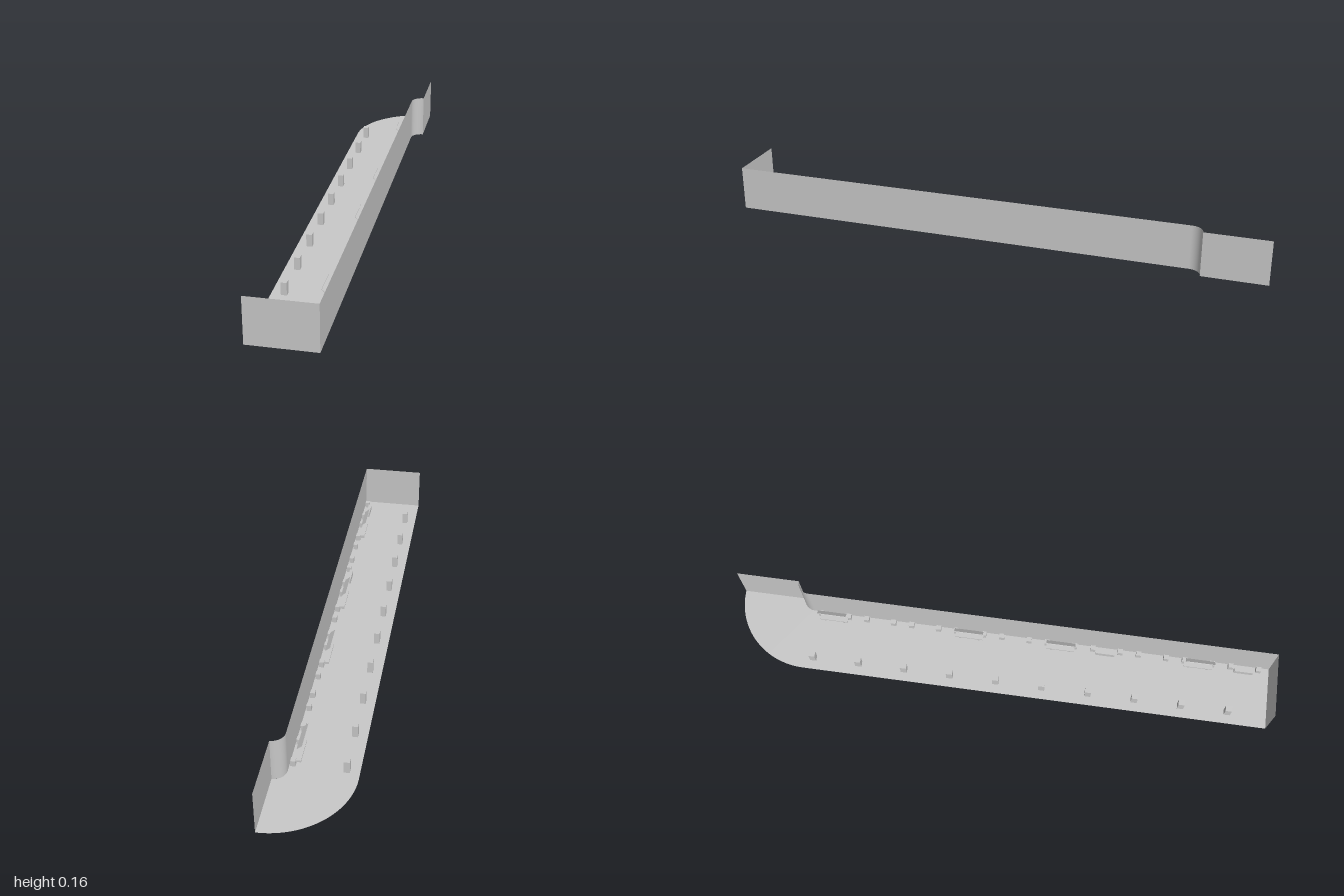
import * as THREE from 'three';

const X0 = -0.138, X1 = 0.094, X2 = 0.138; // outer edge, wall line, end of the bend
const ZC = -0.724, H = 0.164;              // centre of the bend, wall height
const R = X2 - X1;

export function createModel() {
  const model = new THREE.Group();
  const grey = new THREE.MeshStandardMaterial({ color: 0xc8c8c8, side: THREE.DoubleSide });
  grey.name = 'plain grey';

  const add = (name, geometry, x = 0, y = 0, z = 0) => {
    const mesh = new THREE.Mesh(geometry, grey);
    mesh.name = name;
    mesh.position.set(x, y, z);
    model.add(mesh);
    return mesh;
  };
  const box = (name, w, h, d, x, y, z) => add(name, new THREE.BoxGeometry(w, h, d), x, y + h / 2, z);

  // Floor: long strip ending in a quarter bend
  const s = new THREE.Shape();
  s.moveTo(X0, -1);
  s.lineTo(X1, -1);
  s.lineTo(X1, -ZC);
  s.absarc(X2, -ZC, R, Math.PI, Math.PI / 2, true);
  s.lineTo(X2, 1);
  s.absarc(X2, -ZC, X2 - X0, Math.PI / 2, Math.PI, false);
  s.closePath();
  add('floor', new THREE.ShapeGeometry(s, 24).rotateX(-Math.PI / 2));

  // Thin walls: front end, long side, rounded corner, end past the corner
  add('frontWall', new THREE.PlaneGeometry(X1 - X0, H), (X0 + X1) / 2, H / 2, 1);
  const side = (name, x, za, zb) =>
    add(name, new THREE.PlaneGeometry(zb - za, H).rotateY(Math.PI / 2), x, H / 2, (za + zb) / 2);
  side('longWall', X1, ZC, 1);
  side('endWall', X2, -1, ZC - R);
  add('cornerWall', new THREE.CylinderGeometry(R, R, H, 16, 1, true, Math.PI, Math.PI / 2), X2, H / 2, ZC);

  // Row of posts, with pairs of small blocks against the wall
  for (let i = 0; i < 10; i++) {
    const z = -0.692 + i * 0.172;
    box('post', 0.02, 0.045, 0.023, -0.095, 0, z);
    for (const dz of [0, 0.103]) box('wallBlock', 0.017, 0.022, 0.019, 0.082, 0, z + dz);
  }

  // Benches on two legs, each under a tilted panel
  for (const z of [-0.641, -0.125, 0.219, 0.735]) {
    box('benchSeat', 0.02, 0.005, 0.105, 0.066, 0.016, z);
    for (const dz of [-0.035, 0.035]) box('benchLeg', 0.013, 0.016, 0.007, 0.066, 0, z + dz);
    const panel = add('tiltedPanel', new THREE.BoxGeometry(0.002, 0.024, 0.107), 0.059, 0.08, z);
    panel.rotation.z = 0.85;
  }

  // Low bins between the benches
  for (const z of [0.388, 0.905]) box('lowBin', 0.013, 0.02, 0.07, 0.069, 0, z);

  return model;
}
